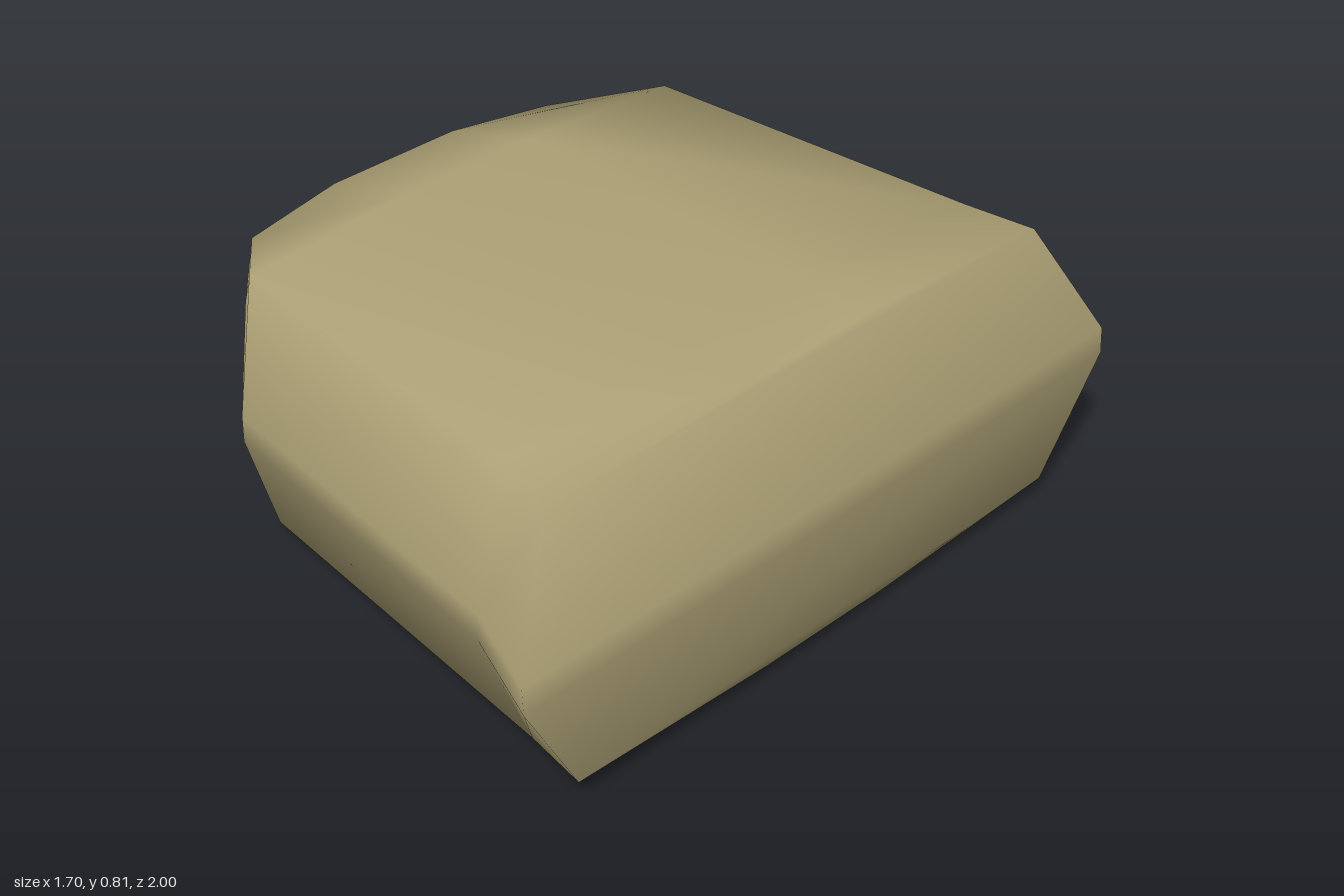
import * as THREE from 'three';

// Half cross-sections on the +z side, each listed from top middle to bottom middle as [x, y, z]
const rim = [[-.85, .48, .04], [-.85, .475, .10], [-.848, .41, .13], [-.84, .31, .13], [-.83, .245, .10], [-.83, .24, .04]];
const shoulder = [[-.69, .72, .2], [-.65, .70, .5], [-.74, .46, .47], [-.74, .38, .47], [-.70, .19, .45], [-.73, .18, .15]];
const front = [[-.4, .81, .2], [-.4, .78, .7], [-.35, .45, .79], [-.35, .38, .79], [-.42, .03, .65], [-.44, 0, .2]];
const rear = [[.55, .805, .2], [.55, .775, .78], [.6, .45, .9], [.6, .38, .9], [.64, .055, .78], [.64, .025, .2]];
const flare = [[.73, .79, .2], [.735, .765, .82], [.845, .45, 1], [.85, .38, 1], [.83, .07, .82], [.83, .045, .2]];

// Recess floor: the rim moved inwards and shrunk a little
const floor = rim.map(([x, y, z]) => [x + .05, .36 + (y - .36) * .85, z * .85]);

const closeRing = half => [...half, ...half.slice().reverse().map(([x, y, z]) => [x, y, -z])];

// Joins mirrored sections into a smooth skin; cap: 1 closes the last section, -1 closes it reversed
function loft(halves, cap = 0) {
  const rings = halves.map(closeRing);
  const n = rings[0].length;
  const index = [];
  const quad = (a, b, c, d) => index.push(a, b, d, b, c, d);
  for (let s = 0; s < rings.length - 1; s++) {
    for (let j = 0; j < n; j++) {
      const k = (j + 1) % n;
      quad(s * n + j, s * n + k, (s + 1) * n + k, (s + 1) * n + j);
    }
  }
  const o = (rings.length - 1) * n;
  for (let i = 0; cap && i < n / 2 - 1; i++) {
    const q = [o + i, o + i + 1, o + n - 2 - i, o + n - 1 - i];
    quad(...(cap > 0 ? q : q.reverse()));
  }
  const g = new THREE.BufferGeometry();
  g.setAttribute('position', new THREE.Float32BufferAttribute(rings.flat(2), 3));
  g.setIndex(index);
  g.computeVertexNormals();
  return g;
}

export function createModel() {
  const tan = new THREE.MeshStandardMaterial({ color: 0xada175 });
  tan.name = 'tan';
  const grey = new THREE.MeshStandardMaterial({ color: 0x80858c });
  grey.name = 'grey';

  const model = new THREE.Group();
  model.name = 'roundedHull';
  const add = (name, geometry, material) => {
    const mesh = new THREE.Mesh(geometry, material);
    mesh.name = name;
    model.add(mesh);
  };

  add('hull', loft([rim, shoulder, front, rear, flare], 1), tan);
  add('recessWall', loft([floor, rim]), tan);
  add('recessFloor', loft([floor], -1), grey);
  return model;
}
